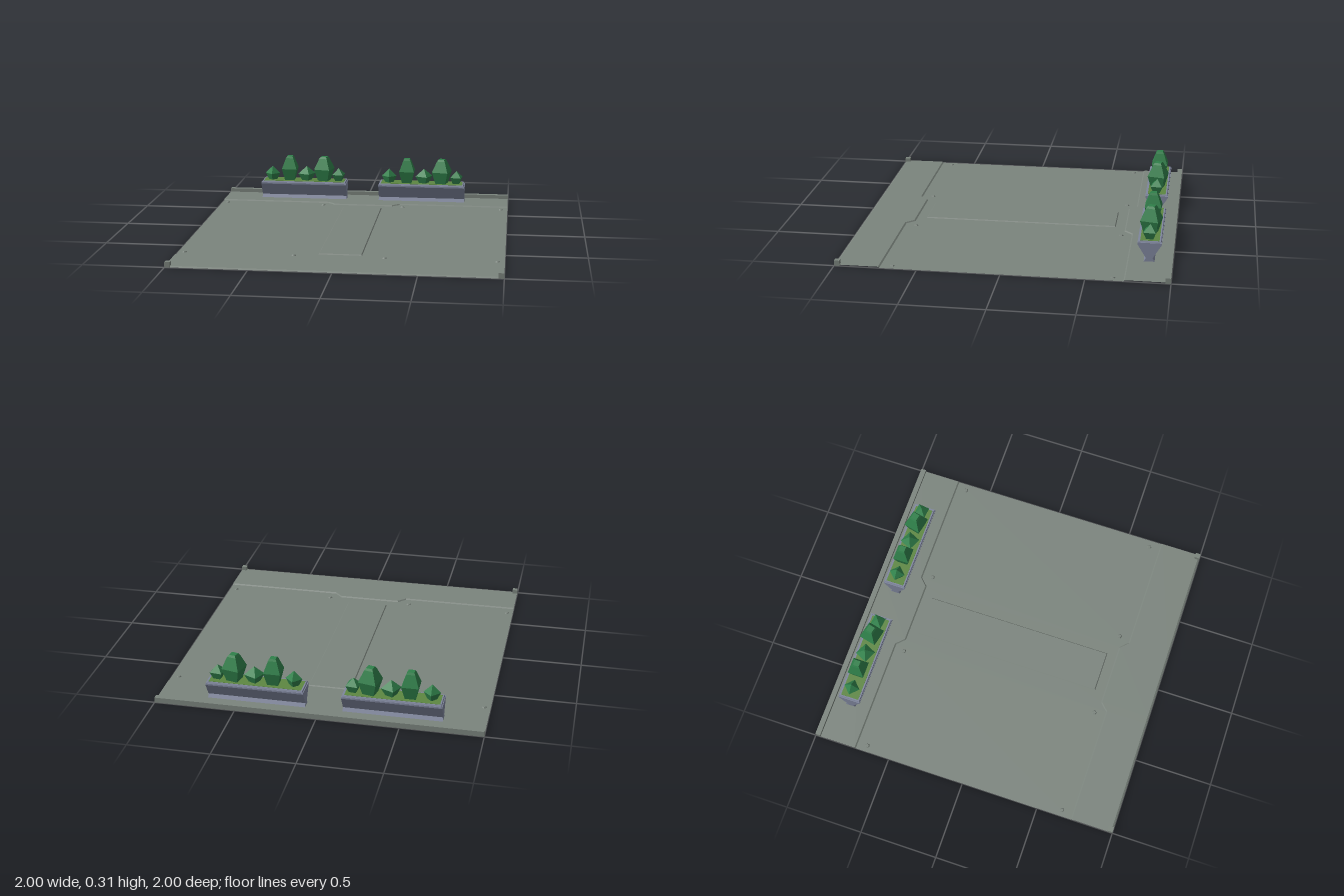
import * as THREE from 'three';

const mat = (name, color, side = THREE.FrontSide) => {
  const m = new THREE.MeshStandardMaterial({ color, side });
  m.name = name;
  return m;
};

// Separate faces so that every facet is shaded flat
function faceted(geo) {
  const g = geo.index ? geo.toNonIndexed() : geo;
  g.computeVertexNormals();
  return g;
}

function add(parent, name, geo, material, x = 0, y = 0, z = 0) {
  const mesh = new THREE.Mesh(geo, material);
  mesh.name = name;
  mesh.position.set(x, y, z);
  parent.add(mesh);
  return mesh;
}

// Sheet floor: raised front and back strips around a recessed middle
function floorGeometry() {
  const stations = [[-1, 0.725], [-0.25, 0.725], [-0.2, 0.675], [0.2, 0.675], [0.25, 0.725], [1, 0.725]];
  const low = 0.001, high = 0.008, pos = [], idx = [], n = 8;
  for (const [x, e] of stations) {
    const profile = [[low, -1], [high, -0.995], [high, -e - 0.008], [low, -e],
      [low, e], [high, e + 0.008], [high, 0.99], [low, 1]];
    for (const [y, z] of profile) pos.push(x, y, z);
  }
  for (let i = 0; i < stations.length - 1; i++) {
    for (let j = 0; j < n - 1; j++) {
      const a = i * n + j, b = a + 1, c = a + n, d = c + 1;
      idx.push(a, b, c, b, d, c);
    }
  }
  const g = new THREE.BufferGeometry();
  g.setAttribute('position', new THREE.Float32BufferAttribute(pos, 3));
  g.setIndex(idx);
  return faceted(g);
}

// Box whose top face is drawn in by a bevel
function beveledPlate(w, h, d, bevel) {
  const g = new THREE.BoxGeometry(w, h, d);
  const p = g.attributes.position;
  for (let i = 0; i < p.count; i++) {
    if (p.getY(i) > 0) {
      p.setX(i, p.getX(i) - Math.sign(p.getX(i)) * bevel);
      p.setZ(i, p.getZ(i) - Math.sign(p.getZ(i)) * bevel);
    }
  }
  return faceted(g);
}

// Waisted trough section pulled along x
function troughGeometry(width) {
  const half = [[0.037, 0], [0.02, 0.03], [0.073, 0.116], [0.073, 0.126]];
  const pts = [...half, ...half.map(([x, y]) => [-x, y]).reverse()];
  const shape = new THREE.Shape(pts.map(([x, y]) => new THREE.Vector2(x, y)));
  const g = new THREE.ExtrudeGeometry(shape, { depth: width, bevelEnabled: false });
  g.translate(0, 0, -width / 2);
  g.rotateY(Math.PI / 2);
  return g;
}

// Four-sided faceted shrub from [radius, height] pairs
function shrubGeometry(profile) {
  const pts = profile.map(([r, y]) => new THREE.Vector2(r, y));
  return faceted(new THREE.LatheGeometry(pts, 4));
}

export function createModel() {
  const model = new THREE.Group();
  model.name = 'plantedFloorPanel';
  const floorMat = mat('greyGreenFloor', 0x7b847d, THREE.DoubleSide);
  const planterMat = mat('blueGreyPlanter', 0x7f869d);
  const soilMat = mat('mossGreen', 0x5d8742);
  const leafMat = mat('leafGreen', 0x2f804a);

  // Floor with its raised centre panel
  add(model, 'floor', floorGeometry(), floorMat);
  add(model, 'centrePanel', beveledPlate(0.27, 0.007, 1.23, 0.006), floorMat, 0, 0.0035, 0);

  // Back kerb and front corner posts
  add(model, 'backKerb', new THREE.BoxGeometry(2, 0.033, 0.033), floorMat, 0, 0.0165, -0.9835);
  for (const s of [-1, 1]) {
    add(model, 'cornerPost', new THREE.BoxGeometry(0.033, 0.033, 0.033), floorMat, s * 0.9835, 0.0165, 0.9835);
  }

  // Bolts
  const bolt = faceted(new THREE.CylinderGeometry(0.01, 0.015, 0.007, 6));
  for (const x of [-0.96, -0.28, 0.275, 0.955]) {
    for (const z of [-0.66, 0.655]) add(model, 'bolt', bolt, floorMat, x, 0.0045, z);
  }

  // Shrubs: offset x, turn in degrees, profile
  const tall = (r) => [[0, 0], [r * 0.62, 0], [r, 0.085], [r * 0.5, 0.16], [r * 0.36, 0.173], [0, 0.173]];
  const small = (r, mid, top) => [[0, 0], [r * 0.55, 0], [r, mid], [0, top]];
  const shrubs = [
    [-0.23, 0, small(0.052, 0.047, 0.098)],
    [-0.105, 45, tall(0.074)],
    [0.015, 20, small(0.062, 0.05, 0.102)],
    [0.14, 32, tall(0.08)],
    [0.243, 38, small(0.053, 0.047, 0.092)],
  ];

  const trough = troughGeometry(0.604);
  const rim = beveledPlate(0.596, 0.01, 0.142, 0.004);
  const soil = new THREE.BoxGeometry(0.572, 0.004, 0.116);
  for (const x of [-0.44, 0.394]) {
    const planter = new THREE.Group();
    planter.name = 'planter';
    planter.position.set(x, 0, -0.857);
    add(planter, 'trough', trough, planterMat);
    add(planter, 'rim', rim, planterMat, 0, 0.13, 0);
    add(planter, 'soil', soil, soilMat, 0, 0.1345, 0);
    for (const [sx, turn, profile] of shrubs) {
      const shrub = add(planter, 'shrub', shrubGeometry(profile), leafMat, sx, 0.134, 0);
      shrub.rotation.y = THREE.MathUtils.degToRad(turn);
    }
    model.add(planter);
  }
  return model;
}
